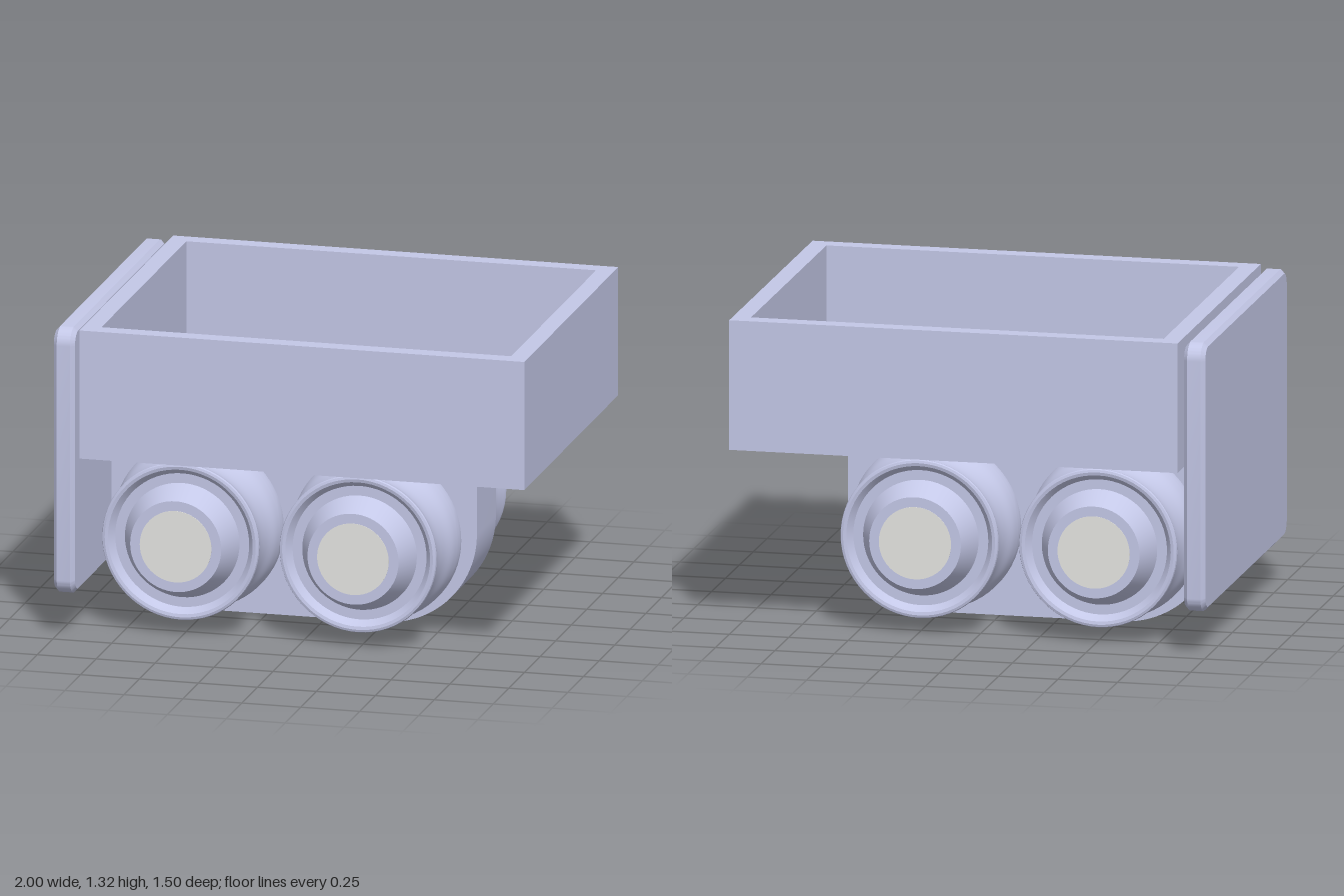
import * as THREE from 'three';
import { toCreasedNormals } from 'three/addons/utils/BufferGeometryUtils.js';

const V = (x, y) => new THREE.Vector2(x, y);

export function createModel() {
  const model = new THREE.Group();
  model.name = 'railCart';
  const paint = new THREE.MeshStandardMaterial({ color: 0xc6caea });
  paint.name = 'lavender grey';
  const steel = new THREE.MeshStandardMaterial({ color: 0xe5e5e2 });
  steel.name = 'light steel';

  const add = (parent, name, geometry, material) => {
    const mesh = new THREE.Mesh(geometry, material);
    mesh.name = name;
    parent.add(mesh);
    return mesh;
  };

  // Open tray: wall ring around a thick floor slab
  const ring = new THREE.Shape([V(-0.887, -0.752), V(1, -0.752), V(1, 0.752), V(-0.887, 0.752)]);
  ring.holes.push(new THREE.Path([V(-0.812, -0.68), V(-0.812, 0.68), V(0.925, 0.68), V(0.925, -0.68)]));
  const walls = new THREE.ExtrudeGeometry(ring, { depth: 0.545, bevelEnabled: false });
  walls.rotateX(-Math.PI / 2).translate(0, 0.776, 0);
  add(model, 'trayWalls', walls, paint);

  const floor = new THREE.BoxGeometry(1.737, 0.116, 1.36);
  floor.translate(0.0565, 0.834, 0);
  add(model, 'trayFloor', floor, paint);

  // Central chassis with rounded lower corners, stepped up behind the end plate
  const side = new THREE.Shape();
  side.moveTo(-0.91, 0.843);
  side.lineTo(-0.91, 0.4);
  side.absarc(-0.51, 0.4, 0.4, Math.PI, Math.PI * 1.5, false);
  side.lineTo(0.24, 0);
  side.absarc(0.24, 0.4, 0.4, -Math.PI / 2, 0, false);
  side.lineTo(0.64, 0.78);
  side.lineTo(-0.88, 0.78);
  side.lineTo(-0.88, 0.843);
  const chassis = new THREE.ExtrudeGeometry(side, { depth: 0.304, bevelEnabled: false, curveSegments: 24 });
  chassis.translate(0, 0, -0.152);
  add(model, 'chassis', toCreasedNormals(chassis, 0.5), paint);

  // Upright end plate with rounded corners and chamfered edges
  const w = 0.752, y0 = 0.187, y1 = 1.318, r = 0.07;
  const outline = new THREE.Shape();
  outline.absarc(w - r, y0 + r, r, -Math.PI / 2, 0, false);
  outline.absarc(w - r, y1 - r, r, 0, Math.PI / 2, false);
  outline.absarc(r - w, y1 - r, r, Math.PI / 2, Math.PI, false);
  outline.absarc(r - w, y0 + r, r, Math.PI, Math.PI * 1.5, false);
  const plate = new THREE.ExtrudeGeometry(outline, {
    depth: 0.056, bevelThickness: 0.017, bevelSize: 0.018, bevelOffset: -0.018,
    bevelSegments: 1, curveSegments: 8,
  });
  plate.rotateY(Math.PI / 2).translate(-0.983, 0, 0);
  add(model, 'endPlate', toCreasedNormals(plate, 0.6), paint);

  // Wheel profile (radius, distance along axle): flange, hollow tread, rim, recess, hub cone
  const tread = new THREE.SplineCurve([
    V(0.354, 0.29), V(0.343, 0.33), V(0.32, 0.378), V(0.307, 0.43),
    V(0.308, 0.48), V(0.322, 0.525), V(0.331, 0.548),
  ]).getPoints(24);
  const profile = [
    V(0.14, 0.23), V(0.342, 0.23), V(0.356, 0.25), V(0.356, 0.28),
    ...tread,
    V(0.333, 0.558), V(0.33, 0.565), V(0.32, 0.568), V(0.307, 0.565),
    V(0.299, 0.556), V(0.284, 0.535), V(0.243, 0.535),
    V(0.193, 0.64), V(0.14, 0.64),
  ];
  const wheelGeo = toCreasedNormals(new THREE.LatheGeometry(profile, 64).rotateX(Math.PI / 2), 0.45);
  const axleGeo = new THREE.CylinderGeometry(0.15, 0.15, 0.5, 48).rotateX(Math.PI / 2);
  const capGeo = new THREE.CylinderGeometry(0.152, 0.152, 0.004, 48).rotateX(Math.PI / 2);

  // Two axles, each with a front and a mirrored back wheel
  for (const [i, x] of [-0.508, 0.244].entries()) {
    const set = new THREE.Group();
    set.name = i ? 'leftWheelSet' : 'rightWheelSet';
    set.position.set(x, 0.398, 0);
    add(set, 'axle', axleGeo, steel);
    for (const s of [1, -1]) {
      const turn = s > 0 ? 0 : Math.PI;
      const end = s > 0 ? 'front' : 'back';
      add(set, end + 'Wheel', wheelGeo, paint).rotation.y = turn;
      add(set, end + 'AxleCap', capGeo, steel).position.z = s * 0.64;
    }
    model.add(set);
  }
  return model;
}
